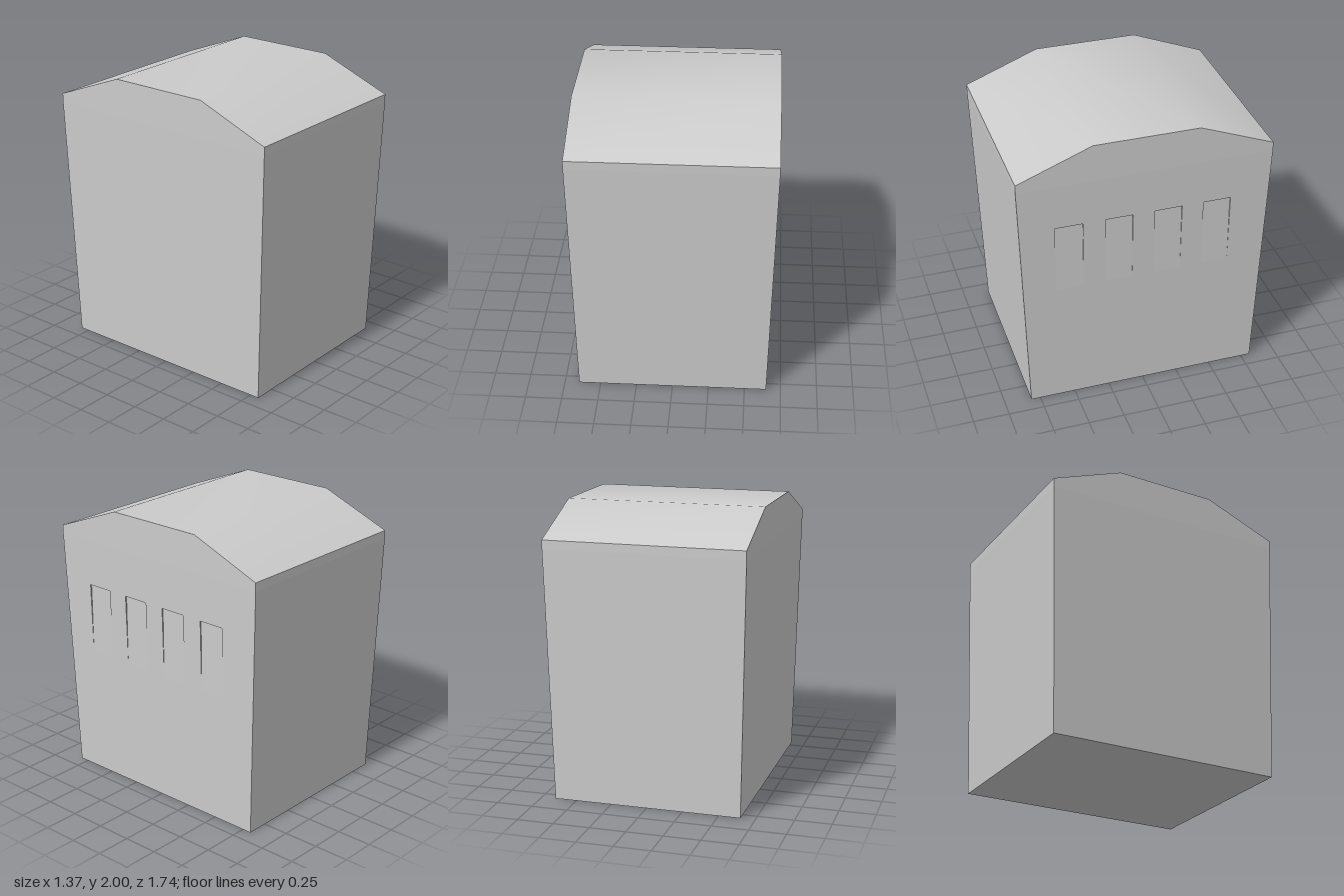
import * as THREE from 'three';
import { toCreasedNormals } from 'three/addons/utils/BufferGeometryUtils.js';

const EAVE = 1.74;                            // top of the tapered walls
const halfX = y => 0.65 + 0.035 * y / EAVE;   // wall taper
const halfZ = y => 0.815 + 0.055 * y / EAVE;
const SLOT_TOP = 1.42, SLOT_BOTTOM = 0.92, SLOT_WIDTH = 0.19;
const SLOT_CENTRES = [0.525, 0.185, -0.155, -0.495];

// Flat polygon from corners listed counter-clockwise as seen from outside
function polygon(points) {
  const v = [];
  for (let i = 1; i < points.length - 1; i++) v.push(...points[0], ...points[i], ...points[i + 1]);
  const g = new THREE.BufferGeometry();
  g.setAttribute('position', new THREE.Float32BufferAttribute(v, 3));
  g.computeVertexNormals();
  return g;
}

export function createModel() {
  const group = new THREE.Group();
  const material = new THREE.MeshStandardMaterial({ color: 0xcccccc });
  const add = (name, geometry, parent = group) => {
    const mesh = new THREE.Mesh(geometry, material);
    mesh.name = name;
    parent.add(mesh);
    return mesh;
  };

  // Plain tapered walls and base
  const corner = (sx, y, sz) => [sx * halfX(y), y, sz * halfZ(y)];
  add('frontWall', polygon([corner(-1, 0, 1), corner(1, 0, 1), corner(1, EAVE, 1), corner(-1, EAVE, 1)]));
  add('backWall', polygon([corner(1, 0, -1), corner(-1, 0, -1), corner(-1, EAVE, -1), corner(1, EAVE, -1)]));
  add('plainSideWall', polygon([corner(-1, 0, -1), corner(-1, 0, 1), corner(-1, EAVE, 1), corner(-1, EAVE, -1)]));
  add('base', polygon([corner(-1, 0, -1), corner(1, 0, -1), corner(1, 0, 1), corner(-1, 0, 1)]));

  // Side wall pierced by four slots; shape coordinates are (-z, y)
  const rect = (Type, pts) => new Type(pts.map(p => new THREE.Vector2(...p)));
  const wall = rect(THREE.Shape, [[-halfZ(0), 0], [halfZ(0), 0], [halfZ(EAVE), EAVE], [-halfZ(EAVE), EAVE]]);
  const r = SLOT_WIDTH / 2;
  for (const z of SLOT_CENTRES) {
    wall.holes.push(rect(THREE.Path, [[-z - r, SLOT_BOTTOM], [-z - r, SLOT_TOP], [-z + r, SLOT_TOP], [-z + r, SLOT_BOTTOM]]));
  }
  const wallGeometry = new THREE.ShapeGeometry(wall).rotateY(Math.PI / 2);
  const pos = wallGeometry.attributes.position;
  for (let i = 0; i < pos.count; i++) pos.setX(i, halfX(pos.getY(i)));
  wallGeometry.computeVertexNormals();
  add('slottedSideWall', wallGeometry);

  // Shallow recesses: upright backs that run out into the sloping wall
  const inner = halfX(SLOT_BOTTOM), outer = halfX(SLOT_TOP);
  for (const z of SLOT_CENTRES) {
    const slot = new THREE.Group();
    slot.name = 'slot';
    group.add(slot);
    const a = z + r, b = z - r;
    add('slotBack', polygon([[inner, SLOT_BOTTOM, a], [inner, SLOT_BOTTOM, b], [inner, SLOT_TOP, b], [inner, SLOT_TOP, a]]), slot);
    add('slotHead', polygon([[inner, SLOT_TOP, a], [inner, SLOT_TOP, b], [outer, SLOT_TOP, b], [outer, SLOT_TOP, a]]), slot);
    add('slotFrontCheek', polygon([[inner, SLOT_BOTTOM, a], [inner, SLOT_TOP, a], [outer, SLOT_TOP, a]]), slot);
    add('slotBackCheek', polygon([[inner, SLOT_BOTTOM, b], [outer, SLOT_TOP, b], [inner, SLOT_TOP, b]]), slot);
  }

  // Roof with a narrow rim, smooth over its three slopes
  const roofProfile = rect(THREE.Shape, [[-0.87, EAVE], [0.87, EAVE], [0.87, 1.8], [0.36, 2], [-0.36, 2], [-0.87, 1.8]]);
  const width = 2 * halfX(EAVE);
  const roof = new THREE.ExtrudeGeometry(roofProfile, { depth: width, bevelEnabled: false });
  roof.translate(0, 0, -width / 2).rotateY(Math.PI / 2);
  add('roof', toCreasedNormals(roof, Math.PI / 6));

  return group;
}
